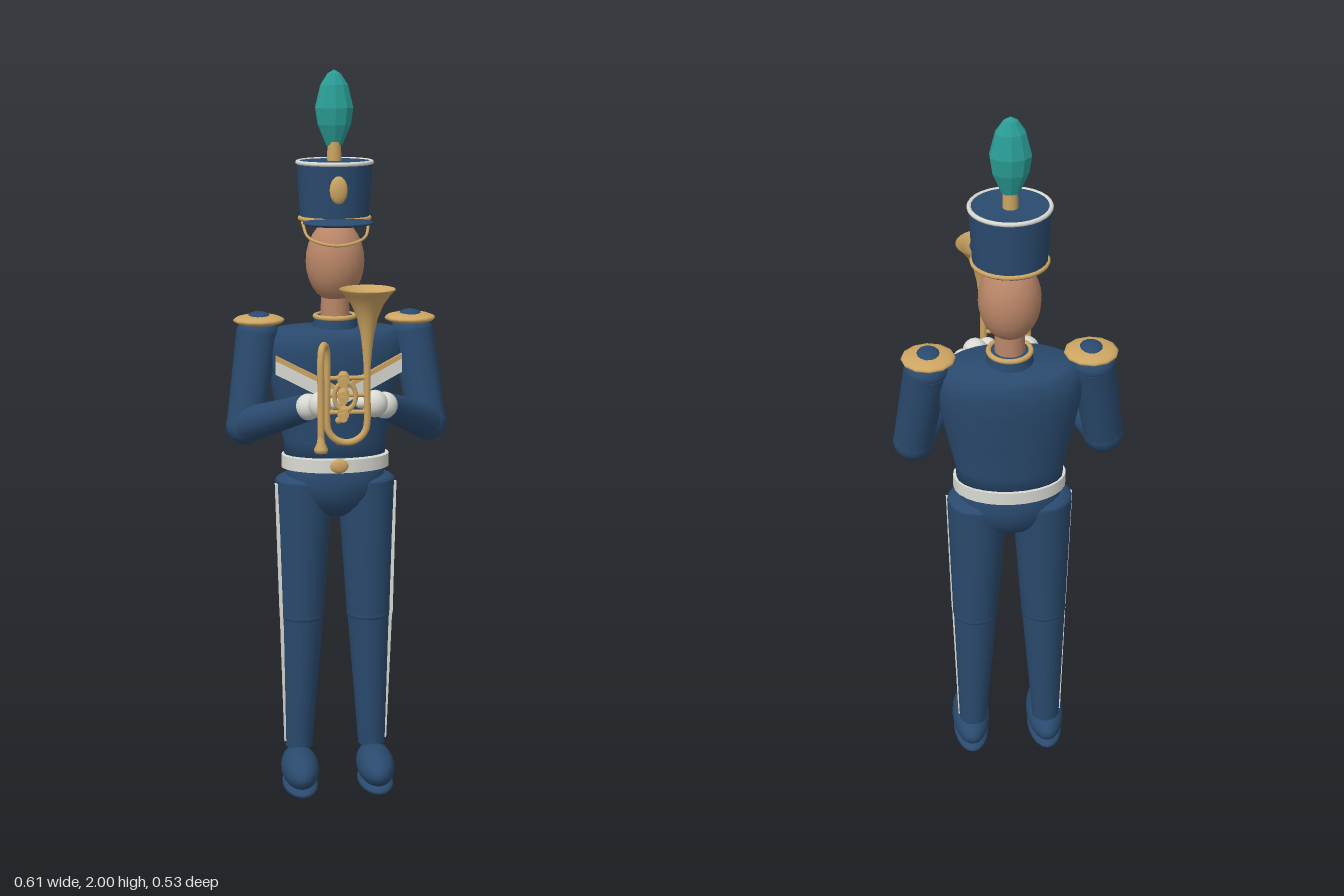
import * as THREE from 'three';

const mat = (name, color, extra = {}) => {
  const m = new THREE.MeshStandardMaterial({ color, ...extra });
  m.name = name;
  return m;
};
const V = (x, y, z) => new THREE.Vector3(x, y, z);

export function createModel() {
  const navy = mat('navy cloth', 0x2a4a6e);
  const gold = mat('brass', 0xcca562, { side: THREE.DoubleSide });
  const white = mat('white trim', 0xd9dad3);
  const skin = mat('skin', 0xb98668);
  const teal = mat('teal feather', 0x2a9d96, { flatShading: true });

  const model = new THREE.Group();
  model.name = 'marchingTrumpeter';

  // ---- helpers ----
  const add = (parent, name, geo, material, p = [0, 0, 0], s = [1, 1, 1]) => {
    const m = new THREE.Mesh(geo, material);
    m.name = name;
    m.position.set(...p);
    m.scale.set(...s);
    parent.add(m);
    return m;
  };
  const ball = (parent, name, material, p, r, seg = 20) =>
    add(parent, name, new THREE.SphereGeometry(1, seg, 14), material, p, r);
  // Tapered limb between two points
  const limb = (parent, name, material, a, b, ra, rb, seg = 16) => {
    const dir = b.clone().sub(a);
    const m = add(parent, name, new THREE.CylinderGeometry(rb, ra, dir.length(), seg), material);
    m.position.copy(a).add(b).multiplyScalar(0.5);
    m.quaternion.setFromUnitVectors(V(0, 1, 0), dir.normalize());
    return m;
  };
  const lathe = (parent, name, material, pts, p, s, seg = 24) =>
    add(parent, name, new THREE.LatheGeometry(pts.map(q => new THREE.Vector2(...q)), seg), material, p, s);
  const ring = (parent, name, material, r, tube, p, s = [1, 1, 1]) => {
    const geo = new THREE.TorusGeometry(r, tube, 8, 28).rotateX(Math.PI / 2);
    return add(parent, name, geo, material, p, s);
  };
  const tube = (parent, name, material, pts, r, seg = 40) =>
    add(parent, name, new THREE.TubeGeometry(new THREE.CatmullRomCurve3(pts, false, 'centripetal'), seg, r, 8), material);

  // ---- torso, belt and hips ----
  lathe(model, 'torso', navy,
    [[0, 0.93], [0.138, 0.93], [0.143, 1.0], [0.165, 1.1], [0.185, 1.2], [0.19, 1.25], [0.182, 1.285], [0.16, 1.31], [0, 1.318]],
    [0, 0, -0.155], [1, 1, 0.58]);
  ball(model, 'hips', navy, [0, 0.895, -0.15], [0.138, 0.115, 0.096]);
  add(model, 'belt', new THREE.CylinderGeometry(0.149, 0.149, 0.036, 28), white, [0, 0.943, -0.147], [1, 1, 0.66]);
  ball(model, 'buckle', gold, [0, 0.945, -0.05], [0.025, 0.02, 0.009]);
  [[1.01, -0.068], [1.07, -0.062], [1.125, -0.054]].forEach(([y, z]) =>
    ball(model, 'button', gold, [0, y, z], [0.01, 0.01, 0.007], 12));
  add(model, 'collar', new THREE.CylinderGeometry(0.056, 0.064, 0.045, 24), navy, [0, 1.322, -0.15]);
  ring(model, 'collarTrim', gold, 0.054, 0.007, [0, 1.342, -0.15]);

  // ---- head ----
  add(model, 'neck', new THREE.CylinderGeometry(0.038, 0.04, 0.1, 18), skin, [0, 1.36, -0.15]);
  ball(model, 'head', skin, [0, 1.493, -0.148], [0.08, 0.112, 0.08]);

  // ---- hat ----
  const hat = new THREE.Group();
  hat.name = 'hat';
  hat.position.z = -0.157;
  model.add(hat);
  add(hat, 'hatBody', new THREE.CylinderGeometry(0.102, 0.093, 0.16, 28), navy, [0, 1.68, 0], [1, 1, 0.93]);
  ring(hat, 'hatRim', white, 0.1, 0.006, [0, 1.757, 0], [1, 1, 0.93]);
  ring(hat, 'hatBand', gold, 0.094, 0.006, [0, 1.608, 0], [1, 1, 0.93]);
  ball(hat, 'visor', navy, [0, 1.603, 0.085], [0.095, 0.011, 0.072], 24);
  ball(hat, 'badge', gold, [0, 1.69, 0.094], [0.024, 0.037, 0.012]);
  tube(hat, 'chinStrap', gold,
    [V(-0.09, 1.6, 0.02), V(-0.075, 1.56, 0.055), V(0, 1.542, 0.085), V(0.075, 1.56, 0.055), V(0.09, 1.6, 0.02)], 0.004, 24);
  add(hat, 'plumeStem', new THREE.CylinderGeometry(0.018, 0.02, 0.06, 12), gold, [0, 1.78, -0.008]);
  lathe(hat, 'plume', teal,
    [[0, 1.79], [0.022, 1.8], [0.046, 1.855], [0.053, 1.9], [0.038, 1.96], [0.018, 1.99], [0, 2.0]],
    [0, 0, -0.01], [1, 1, 0.74], 10);

  // ---- mirrored limbs ----
  for (const side of [1, -1]) {
    const half = new THREE.Group();
    half.name = side > 0 ? 'leftSide' : 'rightSide';
    half.scale.x = side;
    model.add(half);

    // Leg
    const hip = V(0.086, 0.885, -0.154), knee = V(0.094, 0.5, -0.148), ankle = V(0.104, 0.11, -0.152);
    limb(half, 'thigh', navy, hip, knee, 0.08, 0.061, 20);
    ball(half, 'thighTop', navy, hip.toArray(), [0.08, 0.025, 0.08]);
    ball(half, 'knee', navy, knee.toArray(), [0.062, 0.03, 0.062]);
    limb(half, 'shin', navy, knee, ankle, 0.06, 0.038, 20);
    ball(half, 'shoe', navy, [0.107, 0.066, -0.092], [0.053, 0.052, 0.118]);
    ball(half, 'sole', navy, [0.107, 0.02, -0.092], [0.05, 0.02, 0.112]);
    // Trouser stripe, set against the outside of the leg
    const stripe = (a, b) => {
      const d = b.clone().sub(a);
      const m = add(half, 'trouserStripe', new THREE.BoxGeometry(0.009, d.length(), 0.015), white);
      m.position.copy(a).add(b).multiplyScalar(0.5);
      m.quaternion.setFromUnitVectors(V(0, 1, 0), d.normalize());
    };
    stripe(V(0.154, 0.5, -0.125), V(0.164, 0.88, -0.135));
    stripe(V(0.141, 0.125, -0.15), V(0.153, 0.5, -0.13));

    // Arm, cuff and gloved hand
    const shoulder = V(0.212, 1.3, -0.155), elbow = V(0.25, 1.052, -0.112), wrist = V(0.104, 1.142, 0.105);
    limb(half, 'upperArm', navy, shoulder, elbow, 0.058, 0.052);
    ball(half, 'shoulder', navy, shoulder.toArray(), [0.058, 0.04, 0.058]);
    ball(half, 'elbow', navy, elbow.toArray(), [0.053, 0.053, 0.053]);
    limb(half, 'forearm', navy, elbow, wrist, 0.05, 0.036);
    ball(half, 'cuff', white, [0.1, 1.146, 0.115], [0.035, 0.035, 0.033]);
    ball(half, 'hand', white, [0.07, 1.157, 0.147], [0.034, 0.036, 0.032]);
    ball(half, 'thumb', white, [0.035, 1.165, 0.17], [0.022, 0.016, 0.018], 12);

    // Epaulette
    ball(half, 'epaulette', gold, [0.207, 1.333, -0.157], [0.07, 0.016, 0.067], 12);
    ball(half, 'epauletteTop', navy, [0.207, 1.343, -0.155], [0.031, 0.014, 0.036], 14);

    // Chest chevron: white band with a gold upper edge
    const chevron = (name, material, y0, y1) => {
      const s = new THREE.Shape([[0, y0], [0.172, y0 + 0.085], [0.172, y1 + 0.085], [0, y1]]
        .map(q => new THREE.Vector2(...q)));
      const geo = new THREE.ExtrudeGeometry(s, { depth: 0.009, bevelEnabled: false });
      add(half, name, geo, material, [0, 0, -0.04]).rotation.y = 0.157;
    };
    chevron('chevronBand', white, 1.115, 1.152);
    chevron('chevronEdge', gold, 1.152, 1.166);
  }

  // ---- trumpet, held upright ----
  const horn = new THREE.Group();
  horn.name = 'trumpet';
  model.add(horn);
  lathe(horn, 'bell', gold,
    [[0.009, 1.26], [0.013, 1.31], [0.018, 1.35], [0.027, 1.39], [0.042, 1.425], [0.06, 1.45], [0.073, 1.463],
      [0.071, 1.465], [0.056, 1.45], [0.038, 1.425], [0.022, 1.39], [0.012, 1.35], [0, 1.33]],
    [0.044, 0, 0.19], [1, 1, 1], 28);
  // Bell tube, lower bow, upper bow and leadpipe in one run
  const bow = [];
  for (let i = 0; i <= 8; i++) {
    const a = (i / 8) * Math.PI;
    bow.push(V(-0.008 + 0.052 * Math.cos(a), 1.115 - 0.05 * Math.sin(a), 0.19));
  }
  tube(horn, 'mainTube', gold,
    [V(0.044, 1.28, 0.19), V(0.044, 1.2, 0.19), ...bow, V(-0.06, 1.2, 0.19), V(-0.06, 1.295, 0.19), V(-0.064, 1.317, 0.198),
      V(-0.071, 1.325, 0.213), V(-0.078, 1.317, 0.23), V(-0.081, 1.295, 0.237), V(-0.081, 1.2, 0.237), V(-0.081, 1.08, 0.237)],
    0.009, 120);
  lathe(horn, 'mouthpiece', gold, [[0, 1.05], [0.017, 1.05], [0.018, 1.06], [0.011, 1.075], [0.008, 1.095]],
    [-0.081, 0, 0.237], [1, 1, 1], 16);
  // Valves with buttons, and the cross tubes that join them
  for (const y of [1.235, 1.19, 1.145]) {
    limb(horn, 'valve', gold, V(-0.015, y, 0.17), V(-0.022, y, 0.225), 0.015, 0.015, 12);
    limb(horn, 'valveStem', gold, V(-0.022, y, 0.225), V(-0.026, y, 0.258), 0.005, 0.005, 8);
    limb(horn, 'valveButton', gold, V(-0.026, y, 0.256), V(-0.027, y, 0.264), 0.012, 0.012, 12);
    limb(horn, 'crossTube', gold, V(-0.06, y, 0.19), V(0.044, y, 0.19), 0.006, 0.006, 8);
  }
  add(horn, 'tuningSlide', new THREE.TorusGeometry(0.028, 0.006, 8, 20), gold, [-0.015, 1.19, 0.205], [1, 1.3, 1]);
  return model;
}
